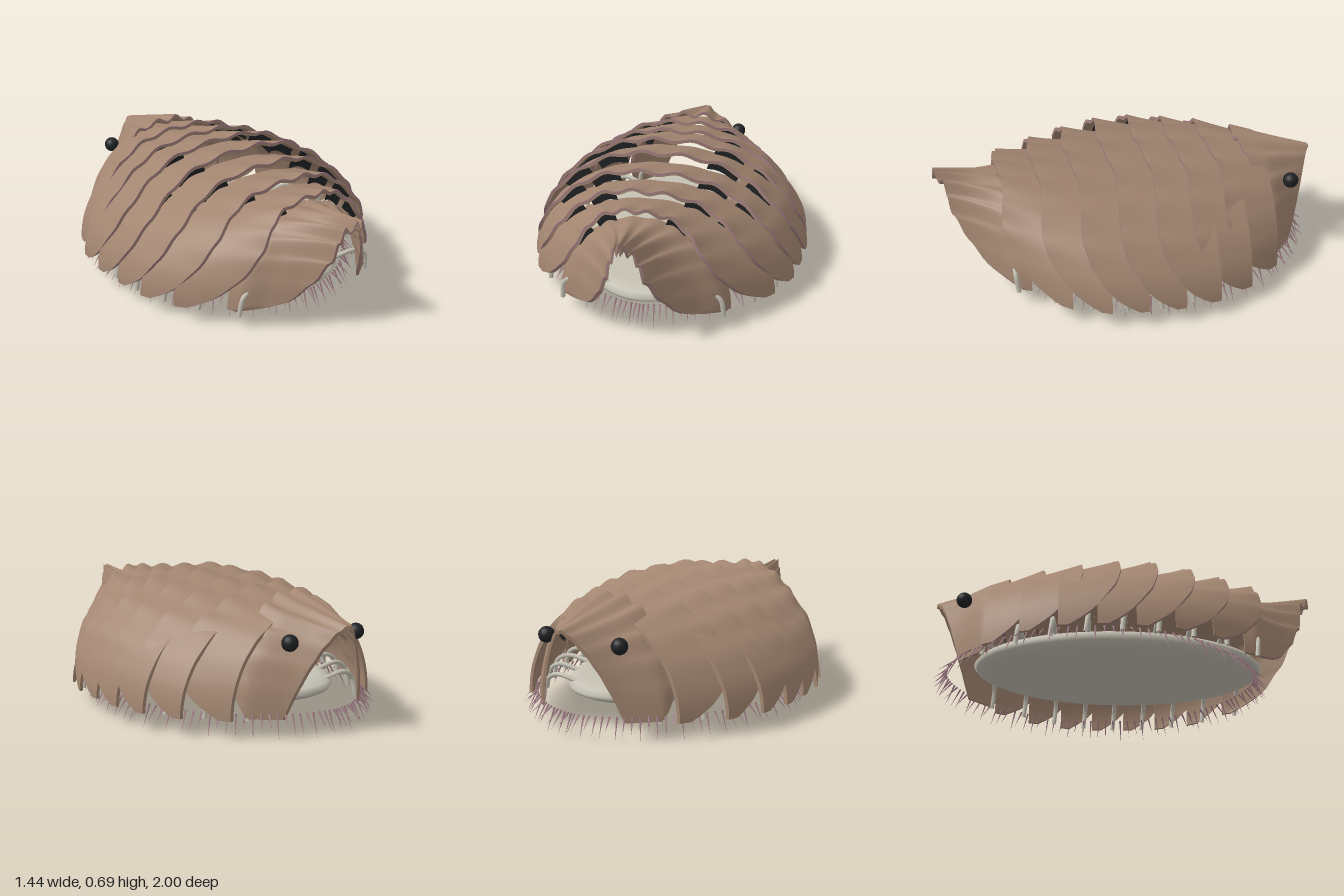
import * as THREE from 'three';

const mat = (name, color, side = THREE.FrontSide) => {
  const m = new THREE.MeshStandardMaterial({ color, side });
  m.name = name;
  return m;
};

// Piecewise linear half width through [z, width] points, extended past both ends
function widthAt(points, z) {
  let i = 1;
  while (i < points.length - 1 && z > points[i][0]) i++;
  const [z0, w0] = points[i - 1], [z1, w1] = points[i];
  return w0 + (w1 - w0) * (z - z0) / (z1 - z0);
}

// Grid surface from a function (u, v) -> [x, y, z]
function surface(fn, nu, nv) {
  const pos = [], idx = [];
  for (let j = 0; j <= nv; j++) for (let i = 0; i <= nu; i++) pos.push(...fn(i / nu, j / nv));
  for (let j = 0; j < nv; j++) for (let i = 0; i < nu; i++) {
    const a = j * (nu + 1) + i, b = a + nu + 1;
    idx.push(a, b, a + 1, b, b + 1, a + 1);
  }
  const g = new THREE.BufferGeometry();
  g.setAttribute('position', new THREE.Float32BufferAttribute(pos, 3));
  g.setIndex(idx);
  g.computeVertexNormals();
  return g;
}

// Side outline of each body plate: rear and front [z, half width], then front height
const BODY = [
  [[-0.69, 0.47], [-0.5, 0.575], 0.65], [[-0.5, 0.62], [-0.33, 0.67], 0.67], [[-0.3, 0.7], [-0.13, 0.72], 0.69],
  [[-0.12, 0.72], [0.03, 0.72], 0.69], [[0.05, 0.71], [0.21, 0.69], 0.665], [[0.24, 0.68], [0.41, 0.605], 0.645],
  [[0.45, 0.575], [0.65, 0.42], 0.63]];

export function createModel() {
  const model = new THREE.Group();
  const shell = mat('shellBrown', 0xa38671, THREE.DoubleSide);
  const mauve = mat('edgeMauve', 0xa17b86, THREE.DoubleSide);
  const dark = mat('black', 0x1f2123, THREE.DoubleSide);
  const beige = mat('fleshBeige', 0xc5c1b4);
  const add = (parent, name, geo, material) => {
    const m = new THREE.Mesh(geo, material);
    m.name = name;
    parent.add(m);
    return m;
  };

  // Overlapping arched plates: front z, rear z, heights, edge sweeps, ripple and how it fades to the rear
  const plates = [{
    name: 'headPlate', zf: -0.59, zr: -1, hf: 0.63, hr: 0.525, sweep: 0.13, power: 6, hook: 0, rear: 0.17,
    ripple: 0.017, fade: 1, width: [[-1, 0.11], [-0.93, 0.18], [-0.84, 0.25], [-0.71, 0.385], [-0.6, 0.42]],
  }];
  BODY.forEach(([back, front, hf], i) => {
    const zf = -0.41 + i * 0.182;
    plates.push({
      name: `bodyPlate${i + 1}`, zf, zr: zf - 0.29, hf, hr: hf - 0.085, sweep: 0.24, power: 7, hook: 0, rear: 0,
      ripple: 0.011, fade: 3, width: [back, front],
    });
  });
  plates.push({
    name: 'tailPlate', zf: 0.985, zr: 0.57, hf: 0.585, hr: 0.53, sweep: 0.22, power: 2, hook: 0.15, rear: 0,
    ripple: 0.022, fade: 1, width: [[0.57, 0.43], [0.64, 0.4], [0.7, 0.31], [0.82, 0.19], [0.91, 0.13], [1, 0.09]],
  });

  const THICK = 0.018, BOTTOM = 0.088;
  plates.forEach((p, n) => {
    const point = (u, v, inset) => {
      const s = u * 2 - 1, t = Math.abs(s), a = s * Math.PI / 2;
      const front = p.zf - p.sweep * t ** p.power - p.hook * t ** 20 + 0.018 * Math.cos(10 * s) * (1 - s * s);
      const back = p.zr + p.rear * t ** 1.2;
      const z = back + (front - back) * v;
      const h = p.hr + (p.hf - p.hr) * v;
      const wave = -Math.cos(s * 34 + 0.5 * Math.sin(n * 2)) * p.ripple * (1 - s * s) * (0.2 + 0.8 * v ** p.fade);
      const x = Math.sin(a) * Math.max(widthAt(p.width, z) - inset, 0.02);
      return [x, BOTTOM + (h - BOTTOM - inset) * Math.cos(a) + wave, z];
    };
    const plate = new THREE.Group();
    plate.name = p.name;
    model.add(plate);
    add(plate, 'outerShell', surface((u, v) => point(u, v, 0), 72, 10), shell);
    add(plate, 'innerShell', surface((u, v) => point(1 - u, v, THICK), 72, 10), shell);
    add(plate, 'frontEdgeLine', surface((u, v) => point(u, 1, THICK * 0.5 * v), 72, 1), mauve);
    add(plate, 'frontRim', surface((u, v) => point(u, 1, THICK * (0.5 + 0.5 * v)), 72, 1), shell);
    add(plate, 'rearRim', surface((u, v) => point(1 - u, 0, THICK * v), 72, 1), shell);
    for (const end of [0, 1])
      add(plate, 'lowerRim', surface((u, v) => point(end, u, THICK * v), 10, 1), shell);
    // Dark tissue patches recessed under the front edge
    if (p.hook === 0) for (const c of [0.21, 0.32, 0.6, 0.71])
      add(plate, 'darkTissue', surface((u, v) => point(c + u * 0.08, 0.82, THICK + v * 0.04), 12, 1), dark);
  });

  // Eyes beside the head
  for (const side of [-1, 1])
    add(model, side > 0 ? 'leftEye' : 'rightEye', new THREE.SphereGeometry(0.04, 20, 14), dark)
      .position.set(side * 0.22, 0.445, -0.83);

  // Oval foot with rounded rim
  const profile = [[0, 0.11], [0.8, 0.113], [0.92, 0.125], [0.98, 0.145], [1, 0.165], [0.97, 0.188], [0.88, 0.203], [0, 0.208]];
  const foot = add(model, 'foot', new THREE.LatheGeometry(profile.map(q => new THREE.Vector2(...q)), 56), beige);
  foot.scale.set(0.44, 1, 0.75);
  foot.position.z = -0.03;

  // Curved legs between the foot and the plates
  for (let i = 0; i < 9; i++) for (const side of [-1, 1]) {
    const z = -0.7 + i * 0.168;
    const inner = 0.42 * Math.sqrt(Math.max(0.03, 1 - ((z + 0.03) / 0.75) ** 2));
    const outer = 0.72 * Math.cos(1.4 * z) - 0.04;
    const path = new THREE.CatmullRomCurve3([
      new THREE.Vector3(side * inner * 0.9, 0.185, z * 0.96),
      new THREE.Vector3(side * (inner + (outer - inner) * 0.5), 0.212, z),
      new THREE.Vector3(side * (outer - 0.02), 0.175, z),
      new THREE.Vector3(side * outer, 0.075, z - 0.01)]);
    add(model, side > 0 ? 'leftLeg' : 'rightLeg', new THREE.TubeGeometry(path, 14, 0.012, 6), beige);
  }

  // Ring of fine spines around the lower edge
  const spines = new THREE.Group();
  spines.name = 'spines';
  model.add(spines);
  const up = new THREE.Vector3(0, 1, 0), COUNT = 120;
  for (let i = 0; i < COUNT; i++) {
    const a = (i / COUNT) * Math.PI * 2, vary = 0.5 + 0.5 * Math.sin(i * 2.4);
    const c = Math.cos(a), s = Math.sin(a);
    const base = new THREE.Vector3(0.635 * c * Math.abs(c) ** 0.2, 0.115, -0.12 + 0.8 * s);
    const reach = 0.045 + 0.03 * (1 - vary);
    const dir = new THREE.Vector3(c * reach, -0.055 - 0.058 * vary, s * reach);
    const spine = add(spines, 'spine', new THREE.ConeGeometry(0.0055, dir.length(), 5), mauve);
    spine.position.copy(base).addScaledVector(dir, 0.5);
    spine.quaternion.setFromUnitVectors(up, dir.clone().normalize());
  }
  return model;
}
